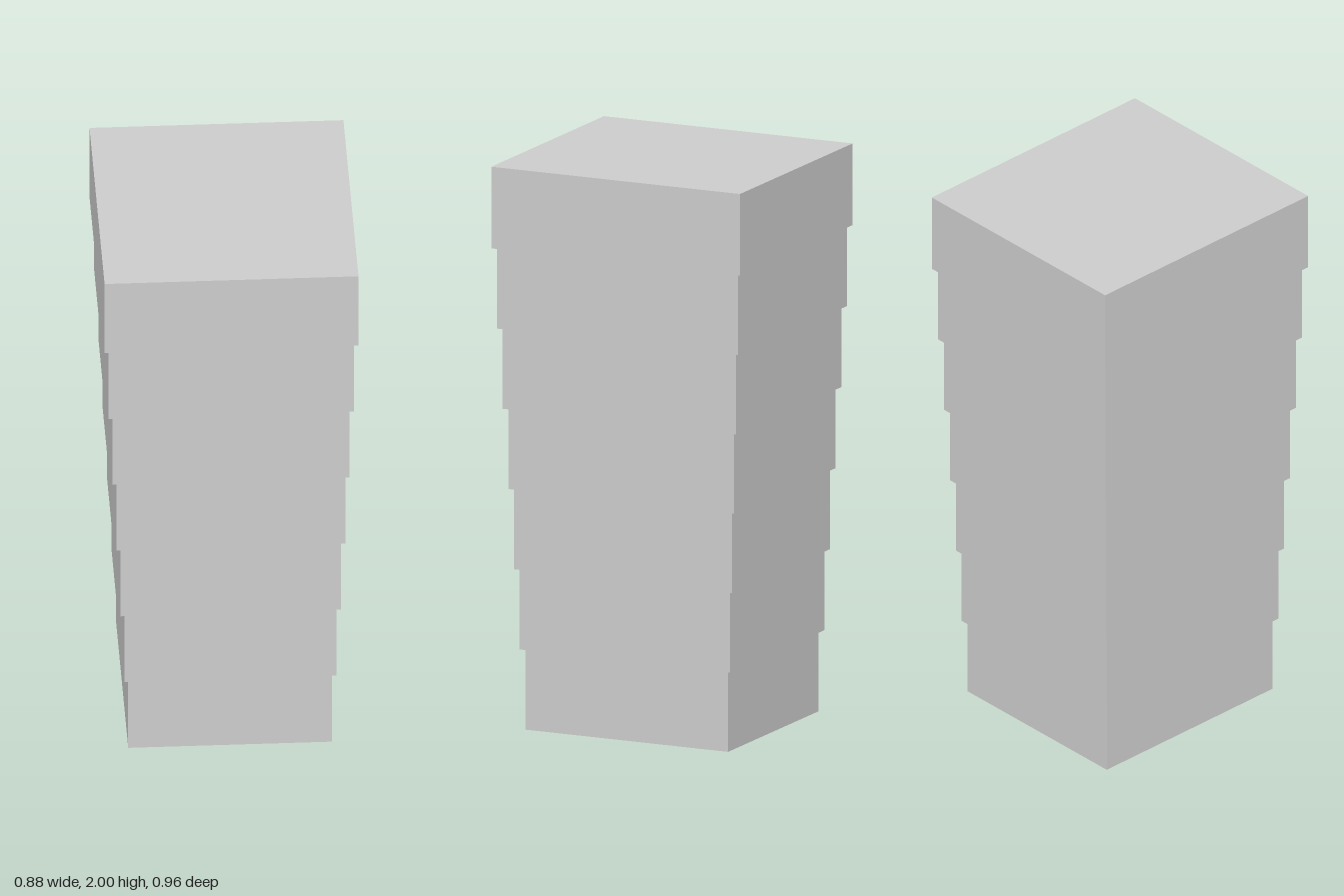
import * as THREE from 'three';

export function createModel() {
  const model = new THREE.Group();
  model.name = 'taperedBlockColumn';

  const stone = new THREE.MeshStandardMaterial({ color: 0xcccccc });
  stone.name = 'light grey';

  // Stack of seven blocks, each a little wider than the one below
  const count = 7;
  const step = 0.2852;
  const height = 2 - step * (count - 1);

  for (let i = 0; i < count; i++) {
    const t = i / (count - 1);
    const width = THREE.MathUtils.lerp(0.704, 0.877, t);
    const depth = THREE.MathUtils.lerp(0.78, 0.957, t);
    const block = new THREE.Mesh(new THREE.BoxGeometry(width, height, depth), stone);
    block.name = `block${i + 1}`;
    block.position.y = i * step + height / 2;
    model.add(block);
  }

  return model;
}
